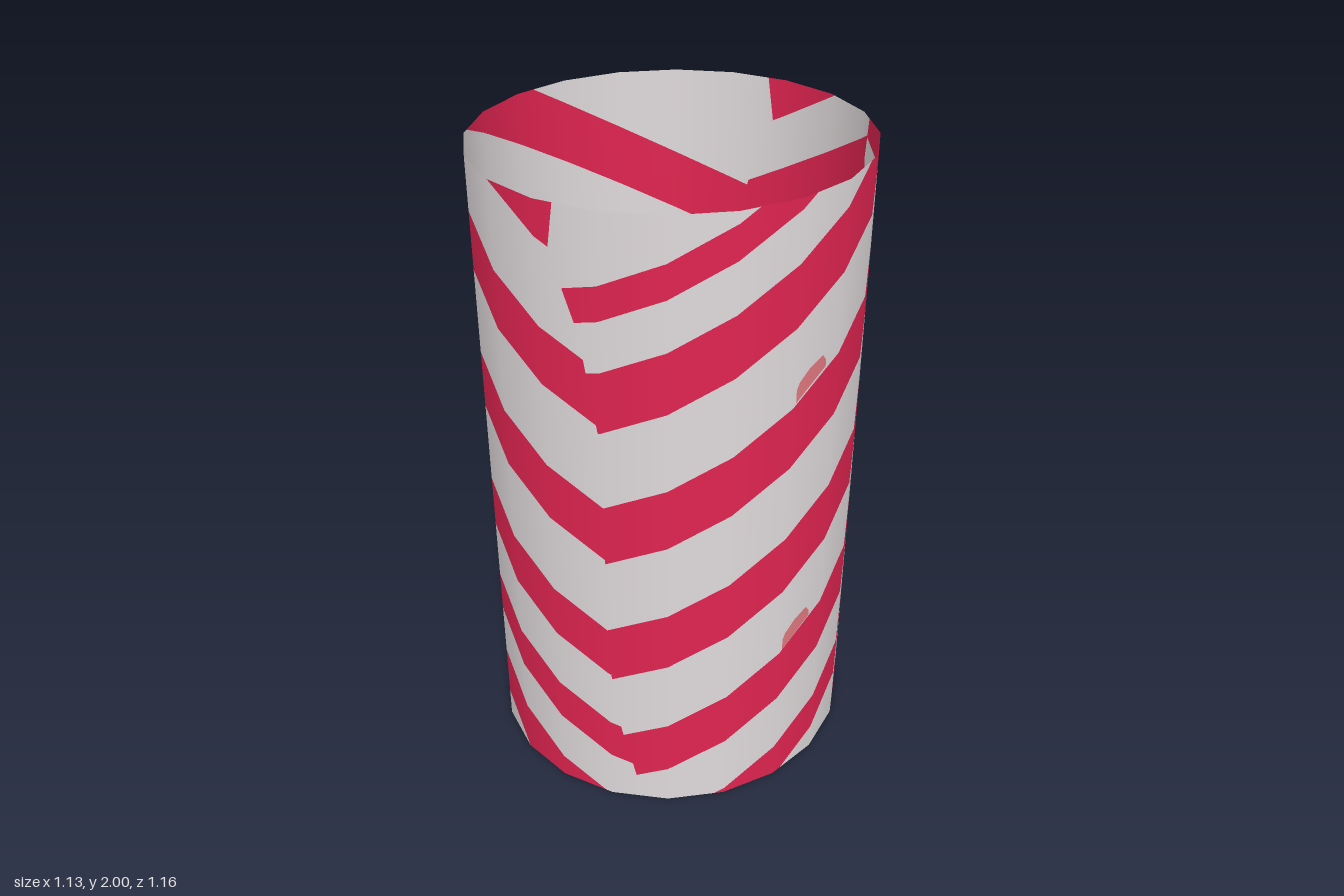
import * as THREE from 'three';

const SIDES = 20, RX = 0.565, RZ = 0.58, SLOPE = 0.58;

const mat = (name, color) => {
  const m = new THREE.MeshStandardMaterial({ color, side: THREE.DoubleSide });
  m.name = name;
  return m;
};

// Half-width in degrees of the front and back panels at each height
const SEAM = [[0, 46], [0.35, 38], [0.6, 36], [1.3, 36], [1.65, 30], [1.87, 22], [2, 24]];

// Four panels: angular limits, stripe direction, stripe ranges at the panel centre
const PANELS = [
  { name: 'front', ends: (a) => [-a, a], dir: [1, 0],
    stripes: [[-0.3, -0.18], [0, 0.18], [0.36, 0.5], [0.7, 0.87], [1.13, 1.31], [1.57, 1.745], [2, 2.18]] },
  { name: 'left', ends: (a) => [a, 180 - a], dir: [0, 1],
    stripes: [[-0.02, 0.12], [0.33, 0.515], [0.755, 0.95], [1.195, 1.39], [1.635, 1.82], [1.97, 2.07]] },
  { name: 'back', ends: (a) => [180 - a, 180 + a], dir: [-1, 0],
    stripes: [[-0.27, -0.1], [0.13, 0.33], [0.55, 0.75], [0.99, 1.16], [1.37, 1.5], [1.65, 1.82], [1.99, 2.16]] },
  { name: 'right', ends: (a) => [180 + a, 360 - a], dir: [0, -1],
    stripes: [[-0.2, -0.05], [0.22, 0.4], [0.65, 0.83], [1, 1.14], [1.3, 1.5], [1.74, 1.93]] },
];

// Point on the faceted wall; t counts facets from the front towards +x
function wallPoint(t) {
  const k = Math.floor(t), f = t - k;
  const at = (i) => {
    const a = (i * 2 * Math.PI) / SIDES;
    return [RX * Math.sin(a), RZ * Math.cos(a)];
  };
  const p = at(k), q = at(k + 1);
  return [p[0] + (q[0] - p[0]) * f, p[1] + (q[1] - p[1]) * f];
}

// Keep the part of a convex polygon where f >= 0
function clip(poly, f) {
  const out = [];
  poly.forEach((p, i) => {
    const q = poly[(i + 1) % poly.length], a = f(p), b = f(q);
    if (a >= 0) out.push(p);
    if ((a > 0 && b < 0) || (a < 0 && b > 0)) {
      const s = a / (a - b);
      out.push([p[0] + (q[0] - p[0]) * s, p[1] + (q[1] - p[1]) * s]);
    }
  });
  return out;
}

// Wrap flat (t, y) polygons onto the wall
function wrap(polys, scale = 1) {
  const pos = [], nor = [];
  for (const poly of polys) {
    for (let i = 1; i + 1 < poly.length; i++) {
      for (const [t, y] of [poly[0], poly[i], poly[i + 1]]) {
        const [x, z] = wallPoint(t);
        const n = new THREE.Vector3(x, 0, z).normalize();
        pos.push(x * scale, y, z * scale);
        nor.push(n.x, 0, n.z);
      }
    }
  }
  const g = new THREE.BufferGeometry();
  g.setAttribute('position', new THREE.Float32BufferAttribute(pos, 3));
  g.setAttribute('normal', new THREE.Float32BufferAttribute(nor, 3));
  return g;
}

export function createModel() {
  const model = new THREE.Group();
  model.name = 'stripedTube';
  const grey = mat('paleGrey', 0xdfd9da);
  const red = mat('crimson', 0xe02450);
  const pink = mat('fadedPink', 0xe0787f);
  const add = (name, geometry, material) => {
    const mesh = new THREE.Mesh(geometry, material);
    mesh.name = name;
    model.add(mesh);
  };

  for (const { name, ends, dir, stripes } of PANELS) {
    const greyPolys = [], redPolys = [];
    const height = ([t, y]) => {
      const [x, z] = wallPoint(t);
      return y + SLOPE * (x * dir[0] + z * dir[1]);
    };
    // Bands alternate grey, red, grey ... from bottom to top
    const cuts = [-9, ...stripes.flat(), 9];
    for (let r = 0; r + 1 < SEAM.length; r++) {
      const [y0, a0] = SEAM[r], [y1, a1] = SEAM[r + 1];
      const low = ends(a0).map((a) => (a * SIDES) / 360);
      const high = ends(a1).map((a) => (a * SIDES) / 360);
      const region = [[low[0], y0], [low[1], y0], [high[1], y1], [high[0], y1]];
      const first = Math.floor(Math.min(low[0], high[0]));
      const last = Math.ceil(Math.max(low[1], high[1]));
      for (let k = first; k < last; k++) {
        const facet = clip(clip(region, (p) => p[0] - k), (p) => k + 1 - p[0]);
        for (let c = 0; c + 1 < cuts.length; c++) {
          const band = clip(clip(facet, (p) => height(p) - cuts[c]), (p) => cuts[c + 1] - height(p));
          if (band.length > 2) (c % 2 ? redPolys : greyPolys).push(band);
        }
      }
    }
    add(name + 'Wall', wrap(greyPolys), grey);
    add(name + 'Stripes', wrap(redPolys), red);
  }

  // Small faded marks above two stripes on the +x side, seen on both faces of the wall
  for (const y of [0.515, 1.395]) {
    const mark = [[5.06, y + 0.01], [5.7, y + 0.08], [5.7, y + 0.1], [5.62, y + 0.12],
      [5.34, y + 0.1], [5.12, y + 0.07], [5.06, y + 0.05]];
    add('outerMark', wrap([mark], 1.003), pink);
    add('innerMark', wrap([mark], 0.997), pink);
  }
  return model;
}
